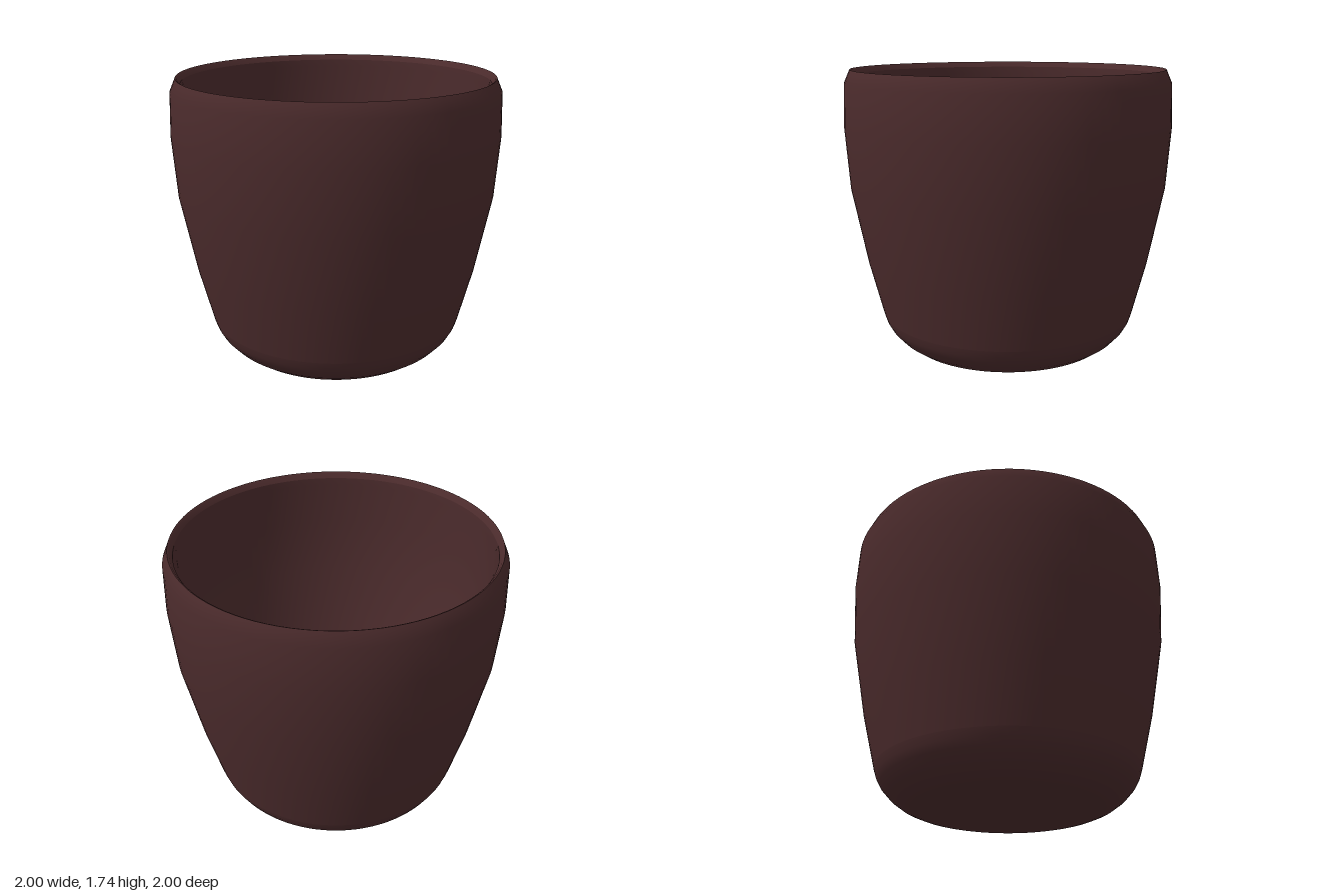
import * as THREE from 'three';

const clay = new THREE.MeshStandardMaterial({ color: 0x4b2b2c });
clay.name = 'dark brown clay';

// Each section is a lathed profile; splitting them keeps the edges between sharp.
function turned(name, points) {
  const profile = points.map(([r, y]) => new THREE.Vector2(r, y));
  const mesh = new THREE.Mesh(new THREE.LatheGeometry(profile, 96), clay);
  mesh.name = name;
  return mesh;
}

export function createModel() {
  const pot = new THREE.Group();
  pot.name = 'pot';

  pot.add(
    turned('base', [[0, 0], [0.57, 0]]),
    // Rounded foot between the flat base and the wall
    turned('foot', [
      [0.57, 0], [0.6, 0.008], [0.65, 0.03], [0.71, 0.074], [0.76, 0.13], [0.785, 0.175], [0.8, 0.22],
    ]),
    turned('outerWall', [
      [0.8, 0.22], [0.885, 0.56], [0.975, 1.03], [1, 1.4], [0.99, 1.66], [0.955, 1.74],
    ]),
    // Narrow lip sloping inwards
    turned('rim', [[0.955, 1.74], [0.945, 1.735], [0.927, 1.705]]),
    // Inside wall follows the outside, then rounds into the floor
    turned('innerWall', [
      [0.927, 1.705], [0.925, 1.66], [0.925, 1.4], [0.9, 1.03], [0.805, 0.56], [0.71, 0.23],
    ]),
    turned('floor', [
      [0.71, 0.23], [0.69, 0.19], [0.65, 0.145], [0.59, 0.105], [0.51, 0.085], [0, 0.08],
    ]),
  );
  return pot;
}
